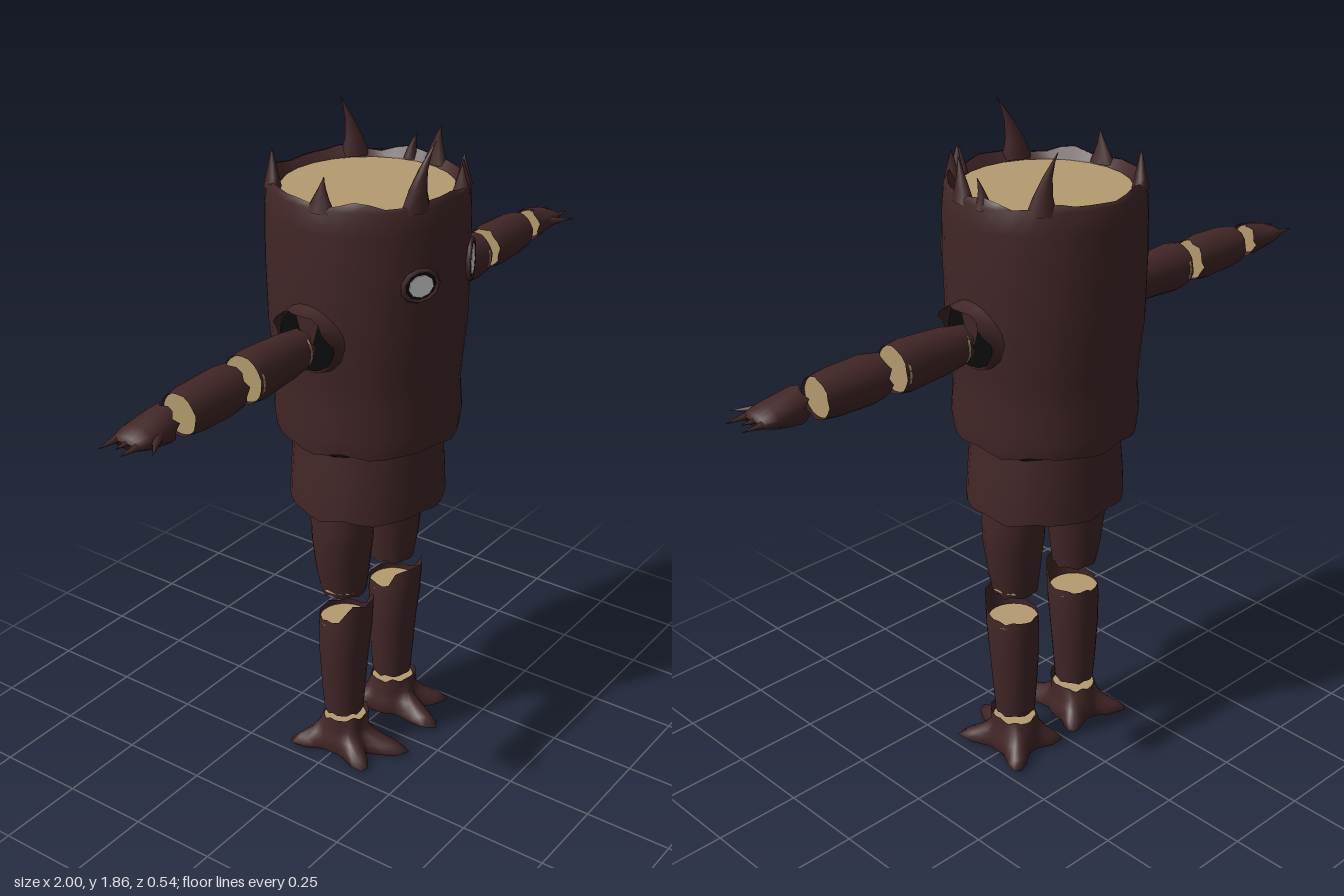
import * as THREE from 'three';

const mat = (name, color) => {
  const m = new THREE.MeshStandardMaterial({ color, side: THREE.DoubleSide });
  m.name = name;
  return m;
};

// Lofts closed rings along y. Row: [y, rx, rz, cx, cz, star]; the ends can be ragged.
function loft(rows, { n = 24, bottom = 0, top = 0, topFn, star } = {}) {
  const pos = [], idx = [];
  const jag = (t, s) => Math.sin(t * 7 + s) * 0.6 + Math.sin(t * 11 + s * 2) * 0.4;
  rows.forEach(([y, rx, rz = rx, cx = 0, cz = 0, k = 0], i) => {
    for (let j = 0; j < n; j++) {
      const t = (j / n) * Math.PI * 2;
      let h = y;
      if (i === 0) h += bottom * jag(t, 1);
      if (i === rows.length - 1) h += top * jag(t, 2) + (topFn ? topFn(t) : 0);
      const e = star ? star(t) * k : 0;
      pos.push(cx + Math.cos(t) * (rx + e), h, cz + Math.sin(t) * (rz + e));
    }
  });
  for (let i = 0; i < rows.length - 1; i++) for (let j = 0; j < n; j++) {
    const a = i * n + j, b = i * n + (j + 1) % n;
    idx.push(a, a + n, b, b, a + n, b + n);
  }
  const g = new THREE.BufferGeometry();
  g.setAttribute('position', new THREE.Float32BufferAttribute(pos, 3));
  g.setIndex(idx);
  g.computeVertexNormals();
  return g;
}

export function createModel() {
  const bark = mat('bark', 0x422627);
  const wood = mat('cutWood', 0xb59b70);
  const dark = mat('hollow', 0x0c0b0b);
  const white = mat('eyeWhite', 0xdedede);
  const model = new THREE.Group();
  model.name = 'stumpFigure';

  const add = (parent, name, geo, m, x = 0, y = 0, z = 0) => {
    const mesh = new THREE.Mesh(geo, m);
    mesh.name = name;
    mesh.position.set(x, y, z);
    parent.add(mesh);
    return mesh;
  };
  const disc = (parent, name, r, y, m = wood, x = 0, z = 0) =>
    add(parent, name, new THREE.CylinderGeometry(r, r, 0.006, 24), m, x, y, z);
  // Curved pointed splinter, leaning along local x
  const splinter = (w, d, h, lean) => loft([0, 0.3, 0.6, 0.85, 1].map(t =>
    [h * t, w * (1 - t) ** 1.3 + 0.001, d * (1 - t) + 0.001, lean * t * t]), { n: 8 });

  // Trunk with a rolled rim and ragged lower edge
  add(model, 'trunk', loft([
    [1.02, 0.25], [1.07, 0.256], [1.15, 0.25], [1.23, 0.256], [1.33, 0.266],
    [1.5, 0.27], [1.64, 0.268], [1.7, 0.262], [1.712, 0.25],
  ], { n: 40, bottom: 0.009, top: 0.012 }), bark);
  add(model, 'innerRim', loft([[1.675, 0.225], [1.71, 0.25]], { n: 40, top: 0.012 }), bark);
  disc(model, 'trunkTop', 0.228, 1.685);
  disc(model, 'trunkUnderside', 0.247, 1.045, dark);
  add(model, 'waist', new THREE.CylinderGeometry(0.2, 0.2, 0.07, 32, 1, true), dark, 0, 1.01, 0);

  // Splinters on the rim: [angle, half width, height, lean]
  [
    [-0.46, 0.042, 0.17, 0.055], [2.33, 0.038, 0.16, 0.04], [-2.44, 0.045, 0.1, 0],
    [1.37, 0.04, 0.11, -0.02], [-1.45, 0.04, 0.09, 0.01], [0.35, 0.012, 0.07, 0.005],
    [0.46, 0.012, 0.08, -0.01], [0.6, 0.015, 0.08, 0.01], [1.7, 0.02, 0.075, -0.02],
  ].forEach(([a, w, h, lean]) => {
    const s = add(model, 'rimSplinter', splinter(w, 0.022, h, lean), bark,
      Math.sin(a) * 0.245, 1.69, Math.cos(a) * 0.245);
    s.rotation.y = a;
  });

  // Eyes: dark socket, white plate and bark surround
  [[-0.118, 1.503, 0.036, 0.03], [0.112, 1.503, 0.034, 0.042]].forEach(([x, y, w, h], i) => {
    const eye = new THREE.Group();
    eye.name = i ? 'leftEye' : 'rightEye';
    const a = Math.asin(x / 0.27);
    eye.position.set(x, y, Math.cos(a) * 0.27);
    eye.rotation.y = a;
    const plate = (name, sx, sy, m, z) => {
      const p = add(eye, name, new THREE.CylinderGeometry(1, 1, 0.004, 9), m, 0, 0, z);
      p.rotation.x = Math.PI / 2;
      p.scale.set(sx, 1, sy);
    };
    plate('eyeSocket', w + 0.012, h + 0.007, dark, 0.002);
    plate('eyeball', w, h, white, 0.005);
    const ring = add(eye, 'eyeSurround', new THREE.TorusGeometry(1, 0.16, 6, 11), bark);
    ring.scale.set(w + 0.014, h + 0.01, 0.05);
    model.add(eye);
  });

  // Hips
  add(model, 'hips', loft([[0.805, 0.227, 0.212], [0.87, 0.223, 0.21], [0.95, 0.213, 0.207], [1.0, 0.208, 0.205]],
    { n: 36, bottom: 0.009, top: 0.006 }), bark);
  disc(model, 'hipsUnderside', 0.208, 0.835);
  disc(model, 'hipsTop', 0.204, 0.99, dark);

  for (const side of [1, -1]) {
    const label = side > 0 ? 'left' : 'right';

    // Arm, built along y and laid along x
    const arm = new THREE.Group();
    arm.name = label + 'Arm';
    arm.position.y = 1.335;
    arm.rotation.z = -Math.PI / 2 * side;
    model.add(arm);
    const rag = { n: 18, bottom: 0.008, top: 0.008 };
    add(arm, 'upperArm', loft([[0.295, 0.052, 0.045], [0.36, 0.062, 0.054], [0.49, 0.07, 0.062], [0.53, 0.064, 0.06]], rag), bark);
    add(arm, 'forearm', loft([[0.575, 0.059, 0.056], [0.62, 0.065, 0.062], [0.72, 0.062, 0.06], [0.768, 0.055, 0.054]], rag), bark);
    [[0.312, 0.05], [0.518, 0.061], [0.588, 0.056], [0.755, 0.053]].forEach(([y, r]) => disc(arm, 'armCut', r, y));
    add(arm, 'hand', loft([[0.82, 0.05, 0.044], [0.86, 0.042, 0.05], [0.91, 0.03, 0.052], [0.945, 0.016, 0.045], [0.95, 0.002, 0.03]],
      { n: 18, bottom: 0.01 }), bark);
    disc(arm, 'wristCut', 0.041, 0.836);
    for (const z of [-0.033, 0, 0.033]) add(arm, 'finger', splinter(0.016, 0.014, z ? 0.09 : 0.07, 0), bark, 0, 0.91, z);
    const thumb = add(arm, 'thumb', splinter(0.018, 0.016, 0.1, 0), bark, 0, 0.87, 0.03);
    thumb.rotation.x = 0.6;

    // Flared shoulder collar around a dark hollow, longest at the top
    const shoulder = new THREE.Group();
    shoulder.name = label + 'Shoulder';
    shoulder.position.y = 1.35;
    shoulder.rotation.z = -Math.PI / 2 * side;
    model.add(shoulder);
    add(shoulder, 'collar', loft([[0.235, 0.115, 0.11], [0.26, 0.095, 0.092], [0.285, 0.09, 0.088]], {
      n: 24,
      topFn: t => -0.035 * side * Math.cos(t) + 0.01 * Math.sin(6 * t + 1),
    }), bark);
    disc(shoulder, 'shoulderHollow', 0.088, 0.262, dark);

    // Leg
    const leg = new THREE.Group();
    leg.name = label + 'Leg';
    leg.position.x = 0.122 * side;
    leg.scale.x = side;
    model.add(leg);
    add(leg, 'thigh', loft([[0.535, 0.064, 0.064, -0.004], [0.6, 0.076, 0.073], [0.7, 0.09, 0.083], [0.76, 0.091, 0.087], [0.83, 0.085, 0.085]],
      { n: 20, bottom: 0.008 }), bark);
    disc(leg, 'thighCut', 0.064, 0.552);
    add(leg, 'shin', loft([[0.132, 0.057, 0.057], [0.2, 0.063, 0.062], [0.33, 0.073, 0.07, 0, 0.002], [0.42, 0.074, 0.077, 0, 0.008], [0.455, 0.07, 0.08, 0, 0.012]], {
      n: 24, bottom: 0.005, top: 0.006,
      topFn: t => 0.062 * THREE.MathUtils.smoothstep(Math.sin(t), 0.1, 0.75), // raised knee
    }), bark);
    disc(leg, 'kneeCut', 0.071, 0.435, wood, 0, 0.005);
    disc(leg, 'shinCut', 0.055, 0.143);

    // Root-like foot: [x, z] of each toe tip
    const toes = [[0.1, 0.14], [-0.05, 0.195], [0.105, -0.12], [-0.1, -0.095]];
    const star = t => toes.reduce((m, [x, z]) => {
      const d = Math.atan2(Math.sin(t - Math.atan2(z, x)), Math.cos(t - Math.atan2(z, x)));
      return Math.max(m, (Math.hypot(x, z) - 0.075) * Math.exp(-((d / 0.3) ** 2)));
    }, 0);
    add(leg, 'foot', loft([
      [0.004, 0.07, 0.07, 0, 0, 0.85], [0.015, 0.076, 0.076, 0, 0, 1], [0.035, 0.077, 0.077, 0, 0, 0.7],
      [0.055, 0.073, 0.073, 0, 0, 0.3], [0.08, 0.066, 0.068, 0, 0, 0.06], [0.118, 0.062, 0.068, 0, 0.008],
    ], { n: 48, top: 0.006, star, topFn: t => 0.012 * Math.sin(t) }), bark);
    add(leg, 'soleEdge', loft([[0.008, 0.055], [0.004, 0.07, 0.07, 0, 0, 0.85]], { n: 48, star }), bark);
    disc(leg, 'sole', 0.066, 0.004);
    disc(leg, 'ankleCut', 0.062, 0.1, wood, 0, 0.004);
  }
  return model;
}
